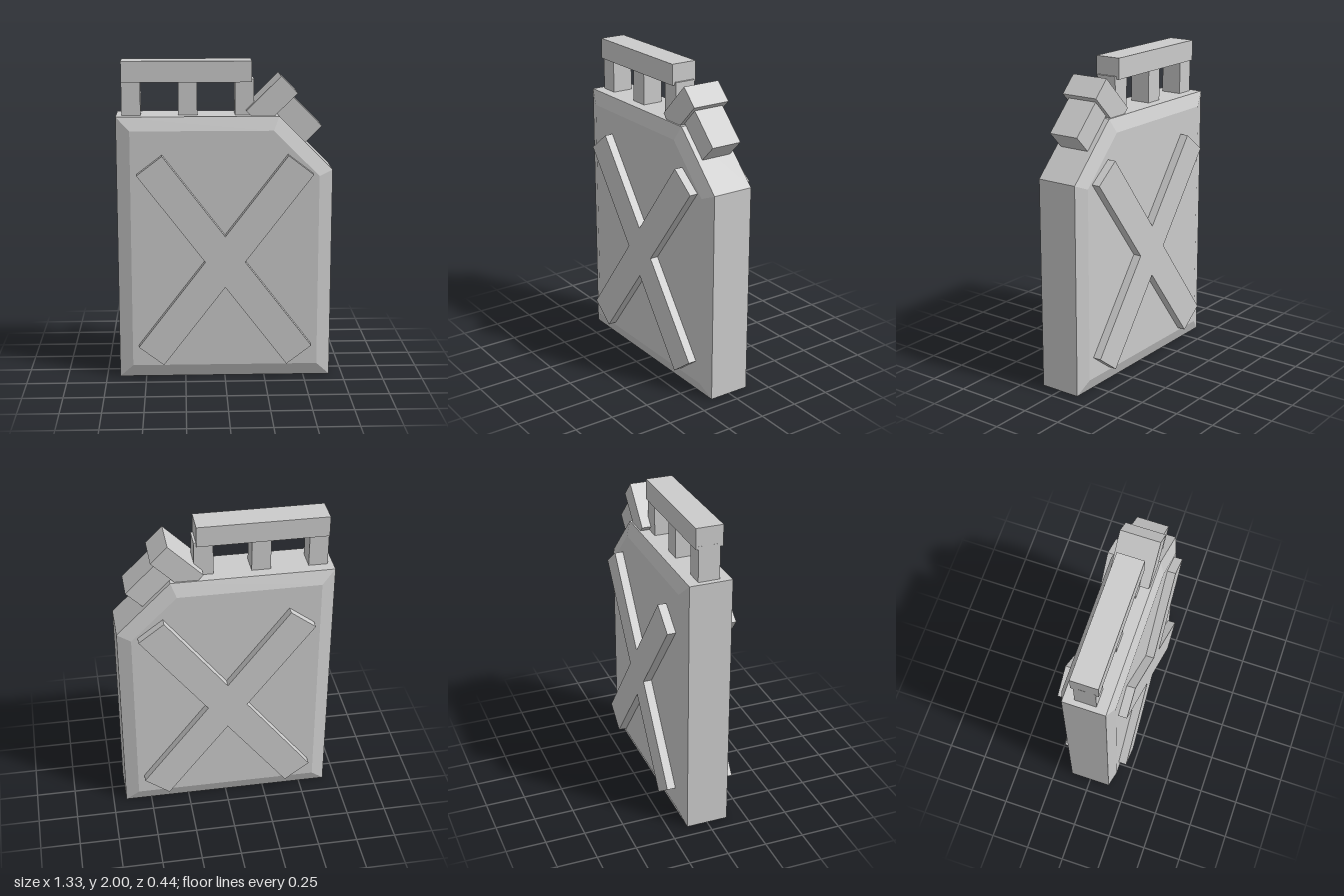
import * as THREE from 'three';
import { ConvexGeometry } from 'three/addons/geometries/ConvexGeometry.js';

const material = new THREE.MeshStandardMaterial({ color: 0xcccccc, flatShading: true });

export function createModel() {
  const model = new THREE.Group();
  model.name = 'fuelCan';

  const add = (name, geometry, x = 0, y = 0, z = 0, parent = model) => {
    const mesh = new THREE.Mesh(geometry, material);
    mesh.name = name;
    mesh.position.set(x, y, z);
    parent.add(mesh);
    return mesh;
  };
  const box = (w, h, d) => new THREE.BoxGeometry(w, h, d);

  // Body: slab with a cut shoulder, bevelled towards front and back
  const rim = [[-0.667, 0], [0.667, 0], [0.667, 1.333], [0.333, 1.667], [-0.667, 1.667]];
  const face = [[-0.583, 0.083], [0.583, 0.083], [0.583, 1.299], [0.299, 1.583], [-0.583, 1.583]];
  const points = [];
  for (const side of [1, -1]) {
    for (const [x, y] of rim) points.push(new THREE.Vector3(x, y, side * 0.133));
    for (const [x, y] of face) points.push(new THREE.Vector3(x, y, side * 0.165));
  }
  add('body', new ConvexGeometry(points));

  // Raised cross on front and back, one outline of two merged bars
  const half = 0.766, halfWidth = 0.0985, angle = Math.atan2(1.218, 0.93);
  const cross = new THREE.Shape();
  const outline = [];
  for (const a of [angle, Math.PI - angle, Math.PI + angle, -angle]) {
    const c = Math.cos(a), s = Math.sin(a);
    for (const w of [-halfWidth, halfWidth]) {
      outline.push(new THREE.Vector2(c * half - s * w, s * half + c * w));
    }
    // Notch between this arm and the next
    const steep = Math.sign(c) === Math.sign(s);
    outline.push(steep
      ? new THREE.Vector2(0, Math.sign(s) * halfWidth / Math.cos(angle))
      : new THREE.Vector2(Math.sign(c) * halfWidth / Math.sin(angle), 0));
  }
  cross.setFromPoints(outline);
  const crossGeometry = new THREE.ExtrudeGeometry(cross, { depth: 0.068, bevelEnabled: false });
  add('frontCross', crossGeometry, 0, 0.769, 0.15);
  add('backCross', crossGeometry, 0, 0.769, -0.218);

  // Carrying handle on three posts
  const handle = new THREE.Group();
  handle.name = 'handle';
  model.add(handle);
  add('handleBar', box(0.8, 0.13, 0.167), -0.233, 1.935, 0, handle);
  for (const x of [-0.575, -0.226, 0.123]) {
    add('handlePost', box(0.117, 0.24, 0.133), x, 1.768, 0, handle);
  }

  // Spout and its clamp, lying along the sloped shoulder
  add('spoutClamp', box(0.146, 0.299, 0.247), 0.289, 1.753).rotation.z = -Math.PI / 4;
  add('spout', box(0.254, 0.142, 0.2), 0.459, 1.64).rotation.z = -Math.PI / 4;

  return model;
}
